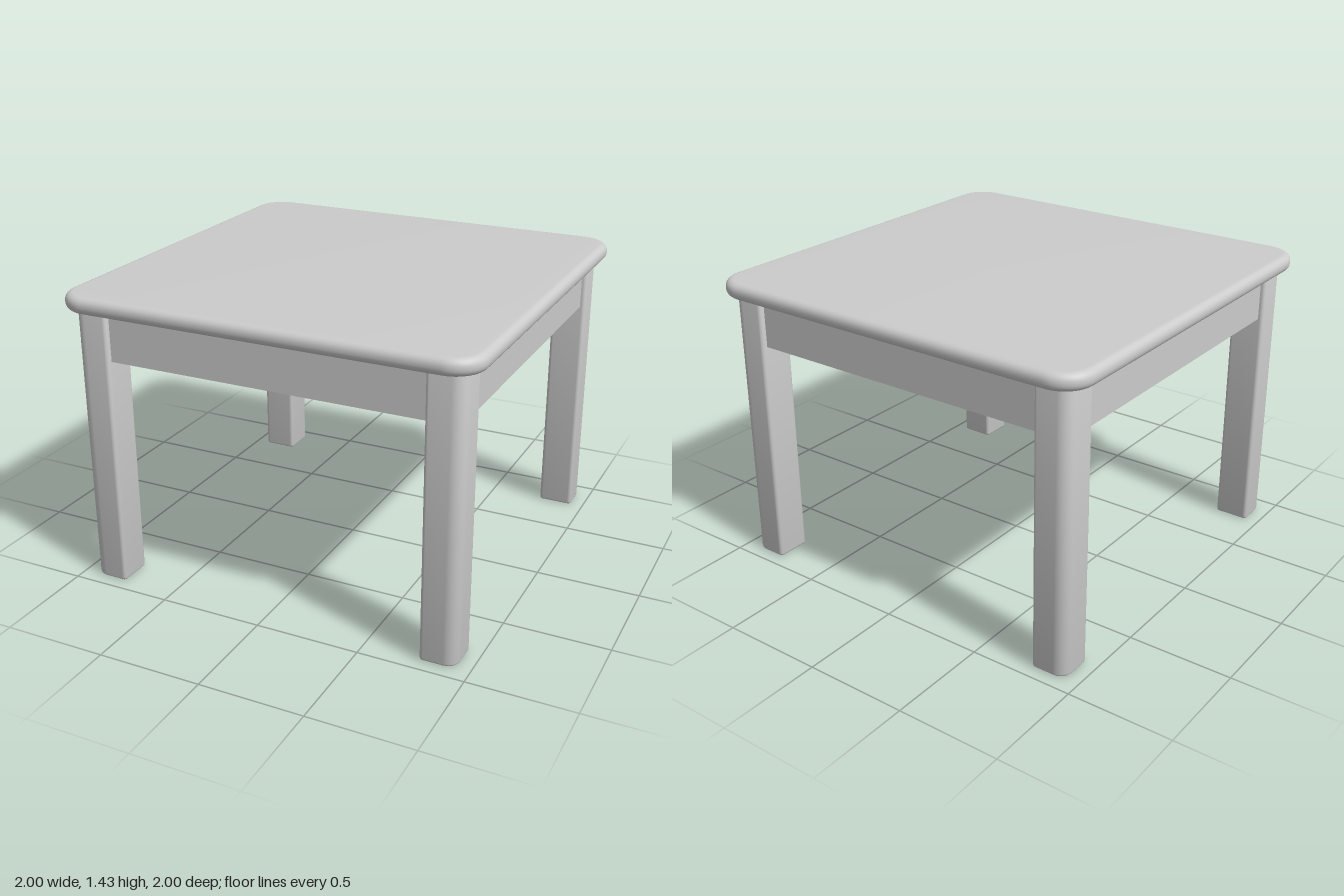
import * as THREE from 'three';
import { toCreasedNormals } from 'three/addons/utils/BufferGeometryUtils.js';

const material = new THREE.MeshStandardMaterial({ color: 0xcccccc });

// Square outline of half-width h; radii: front-right, back-right, back-left, front-left corner
function roundedSquare(h, [fr, br, bl, fl]) {
  const s = new THREE.Shape();
  s.absarc(h - fr, -h + fr, fr, -Math.PI / 2, 0);
  s.absarc(h - br, h - br, br, 0, Math.PI / 2);
  s.absarc(-h + bl, h - bl, bl, Math.PI / 2, Math.PI);
  s.absarc(-h + fl, -h + fl, fl, Math.PI, Math.PI * 1.5);
  s.closePath();
  return s;
}

// Upright slab with softened edges, standing on y = 0
function softSlab(half, radii, height, bevel, steps) {
  const inner = radii.map((r) => Math.max(r - bevel, 0.004));
  let g = new THREE.ExtrudeGeometry(roundedSquare(half - bevel, inner), {
    depth: height - 2 * bevel, curveSegments: 10, bevelEnabled: true,
    bevelThickness: bevel, bevelSize: bevel, bevelSegments: steps,
  });
  g.translate(0, 0, bevel);
  g.rotateX(-Math.PI / 2);
  // Enlarged while smoothing so that nearby points stay distinct
  g.scale(100, 100, 100);
  g = toCreasedNormals(g, 0.75);
  return g.scale(0.01, 0.01, 0.01);
}

function add(parent, name, geometry, x = 0, y = 0, z = 0) {
  const m = new THREE.Mesh(geometry, material);
  m.name = name;
  m.position.set(x, y, z);
  parent.add(m);
  return m;
}

export function createModel() {
  const table = new THREE.Group();
  table.name = 'table';

  const topGeo = softSlab(1, [0.15, 0.15, 0.15, 0.15], 0.08, 0.036, 6);
  add(table, 'tabletop', topGeo, 0, 1.35, 0);

  // Legs are rounder on the corner facing outward
  const legGeo = softSlab(0.086, [0.06, 0.018, 0.018, 0.018], 1.36, 0.012, 3);
  const apronGeo = new THREE.BoxGeometry(1.6, 0.235, 0.065);
  const screwGeo = new THREE.CylinderGeometry(0.013, 0.013, 0.008, 12);
  const plateGeo = new THREE.BoxGeometry(0.27, 0.13, 0.014);
  const flangeGeo = new THREE.BoxGeometry(0.07, 0.13, 0.012);
  const nutGeo = new THREE.CylinderGeometry(0.024, 0.024, 0.022, 6).rotateX(Math.PI / 2);
  const boltGeo = new THREE.CylinderGeometry(0.011, 0.011, 0.13, 12).rotateX(Math.PI / 2);

  // Each quarter holds one side and the corner at its +x end
  for (let i = 0; i < 4; i++) {
    const quarter = new THREE.Group();
    quarter.name = 'quarter' + (i + 1);
    quarter.rotation.y = (i * Math.PI) / 2;
    table.add(quarter);

    add(quarter, 'leg', legGeo, 0.85, 0, 0.85);
    add(quarter, 'apron', apronGeo, 0, 1.2375, 0.878);
    for (const x of [-0.71, -0.27, 0.27, 0.71]) {
      add(quarter, 'apronScrew', screwGeo, x, 1.119, 0.878);
    }

    // Diagonal metal bracket bolted to the inner corner of the leg
    const bracket = new THREE.Group();
    bracket.name = 'cornerBracket';
    bracket.position.set(0.745, 1.225, 0.745);
    bracket.rotation.y = Math.PI / 4;
    quarter.add(bracket);
    add(bracket, 'bracketPlate', plateGeo);
    add(bracket, 'bracketNut', nutGeo, 0, 0, -0.018);
    add(bracket, 'bracketBolt', boltGeo, 0, 0, 0.025);
    add(quarter, 'bracketFlange', flangeGeo, 0.625, 1.225, 0.84);
    add(quarter, 'bracketFlange', flangeGeo, 0.84, 1.225, 0.625).rotation.y = Math.PI / 2;
  }
  return table;
}
